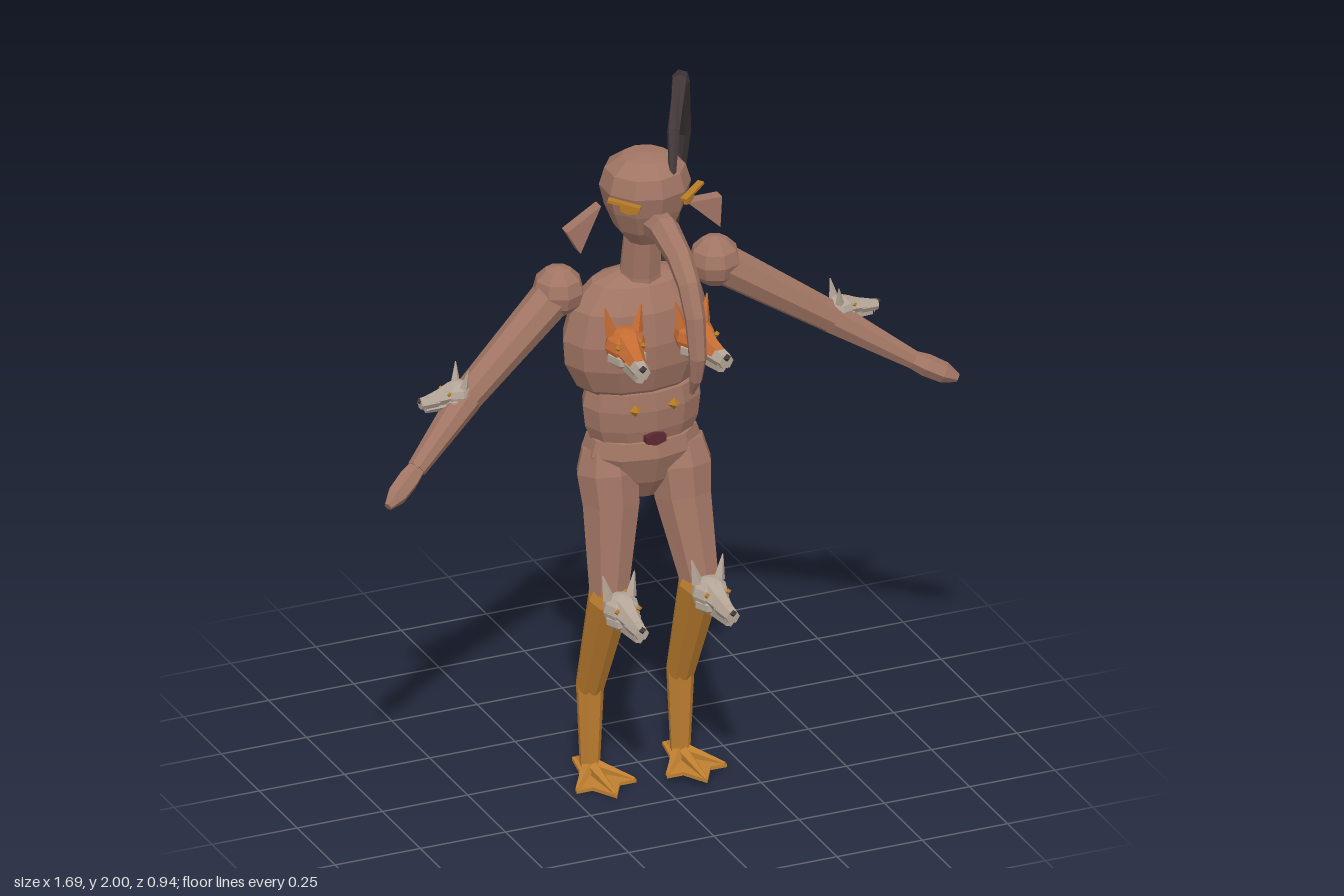
import * as THREE from 'three';

const paint = (name, color) => {
  const m = new THREE.MeshStandardMaterial({ color });
  m.name = name;
  return m;
};

export function createModel() {
  const root = new THREE.Group();
  root.name = 'creature';
  const skin = paint('skin', 0xa17564);
  const amber = paint('amber scale', 0xbf7f30);
  const fox = paint('orange fur', 0xc56c34);
  const bone = paint('pale fur', 0xb4a597);
  const dark = paint('dark hide', 0x423839);
  const maroon = paint('maroon', 0x5c2830);
  const gold = paint('gold', 0xb57a24);

  // Faceted mesh helper
  function add(name, geo, mat, pos = [0, 0, 0], parent = root) {
    const g = geo.index ? geo.toNonIndexed() : geo;
    g.computeVertexNormals();
    const mesh = new THREE.Mesh(g, mat);
    mesh.name = name;
    mesh.position.set(...pos);
    parent.add(mesh);
    return mesh;
  }

  // Closed tapered tube through points; each point is [x, y, z, radius]
  function limb(name, mat, pts, sides = 7, ref = [1, 0, 0], parent = root) {
    const c = pts.map(p => new THREE.Vector3(p[0], p[1], p[2]));
    const r = new THREE.Vector3(...ref), pos = [], idx = [], last = c.length - 1;
    c.forEach((p, i) => {
      const a = c[Math.max(i - 1, 0)], b = c[Math.min(i + 1, last)];
      const t = b.clone().sub(p).normalize().add(p.clone().sub(a).normalize()).normalize();
      const n = r.clone().cross(t).normalize(), m = t.clone().cross(n);
      for (let j = 0; j < sides; j++) {
        const u = j / sides * Math.PI * 2;
        const v = p.clone().addScaledVector(n, Math.cos(u) * pts[i][3]).addScaledVector(m, Math.sin(u) * pts[i][3]);
        pos.push(v.x, v.y, v.z);
      }
    });
    const s0 = pos.length / 3;
    pos.push(...c[0].toArray(), ...c[last].toArray());
    for (let j = 0; j < sides; j++) {
      const k = (j + 1) % sides;
      for (let i = 0; i < last; i++) {
        const A = i * sides + j, B = i * sides + k;
        idx.push(A, B, A + sides, B, B + sides, A + sides);
      }
      idx.push(k, j, s0, last * sides + j, last * sides + k, s0 + 1);
    }
    const g = new THREE.BufferGeometry();
    g.setAttribute('position', new THREE.Float32BufferAttribute(pos, 3));
    g.setIndex(idx);
    return add(name, g, mat, [0, 0, 0], parent);
  }

  // Turned body section, flattened front to back
  function turned(name, profile, pos, depth = 1, sides = 10) {
    const g = new THREE.LatheGeometry(profile.map(p => new THREE.Vector2(...p)), sides);
    g.scale(1, 1, depth);
    return add(name, g, skin, pos);
  }

  // Head, neck and torso
  turned('head', [[0, -0.14], [0.05, -0.135], [0.085, -0.09], [0.11, -0.03], [0.125, 0.03], [0.11, 0.08], [0.065, 0.112], [0, 0.12]], [-0.02, 1.74, 0.09], 0.97);
  limb('neck', skin, [[-0.02, 1.42, 0.05, 0.07], [-0.02, 1.5, 0.06, 0.058], [-0.02, 1.65, 0.08, 0.052]], 8);
  turned('chest', [[0, 1.15], [0.15, 1.16], [0.175, 1.18], [0.21, 1.25], [0.215, 1.32], [0.19, 1.41], [0.13, 1.475], [0.05, 1.5], [0, 1.5]], [-0.025, 0, 0.045], 0.62, 12);
  turned('belly', [[0, 1.0], [0.145, 1.01], [0.165, 1.06], [0.172, 1.12], [0.16, 1.17], [0, 1.18]], [-0.015, 0, 0.055], 0.64, 12);
  turned('pelvis', [[0, 0.83], [0.07, 0.84], [0.13, 0.9], [0.17, 0.98], [0.155, 1.025], [0.08, 1.04], [0, 1.04]], [-0.015, 0, 0.055], 0.68);

  // Trunk
  limb('trunk', skin, [[-0.02, 1.68, 0.15, 0.045], [-0.02, 1.685, 0.22, 0.042], [-0.02, 1.645, 0.32, 0.036], [-0.02, 1.59, 0.38, 0.032],
    [-0.02, 1.51, 0.42, 0.029], [-0.02, 1.4, 0.438, 0.025], [-0.02, 1.33, 0.425, 0.018], [-0.02, 1.28, 0.4, 0.007]], 7);

  // Floating ears: triangular wedges
  function ear(name, corners) {
    const g = new THREE.ExtrudeGeometry(new THREE.Shape(corners.map(p => new THREE.Vector2(...p))), { depth: 0.035, bevelEnabled: false });
    add(name, g, skin, [0, 0, 0.07]);
  }
  ear('leftEar', [[0.1, 1.69], [0.195, 1.6], [0.2, 1.69]]);
  ear('rightEar', [[-0.255, 1.67], [-0.215, 1.6], [-0.155, 1.73]]);

  // Eyes with lashes
  for (const s of [1, -1]) {
    const eye = add('eye', new THREE.CylinderGeometry(0.024, 0.024, 0.008, 6).rotateX(Math.PI / 2).scale(1.2, 0.6, 1), gold, [-0.02 + s * 0.087, 1.745, 0.184]);
    eye.rotation.y = s * 0.75;
    const lash = add('lash', new THREE.BoxGeometry(0.09, 0.008, 0.02), gold, [-0.02 + s * 0.1, 1.762, 0.178]);
    lash.rotation.set(0, s * 0.6, s * 0.2);
  }

  // Belly studs and navel mouth
  for (const x of [-0.078, 0.035]) add('stud', new THREE.OctahedronGeometry(0.018), gold, [x, 1.13, 0.158]);
  add('navelMouth', new THREE.CylinderGeometry(0.034, 0.034, 0.02, 6).rotateX(Math.PI / 2).scale(1, 0.55, 1), maroon, [-0.022, 1.04, 0.162]);

  // Arms
  const up = [0, 1, 0];
  function arm(side, shoulder, elbow, wrist, tip) {
    add(side + 'Shoulder', new THREE.SphereGeometry(0.072, 8, 6), skin, shoulder);
    limb(side + 'UpperArm', skin, [[...shoulder, 0.058], [...elbow, 0.044]], 8, up);
    limb(side + 'Forearm', skin, [[...elbow, 0.046], [...wrist, 0.027]], 8, up);
    const at = f => wrist.map((v, i) => v + (tip[i] - v) * f);
    limb(side + 'Hand', skin, [[...at(-0.05), 0.024], [...at(0.3), 0.031], [...at(0.7), 0.029], [...tip, 0.012]], 6, up);
  }
  arm('left', [0.205, 1.475, 0.045], [0.53, 1.26, 0.095], [0.73, 1.13, 0.17], [0.84, 1.075, 0.22]);
  arm('right', [-0.255, 1.475, 0.045], [-0.55, 1.235, 0.1], [-0.73, 1.095, 0.18], [-0.84, 1.03, 0.24]);

  // Legs with webbed feet
  const web = new THREE.Shape([[-0.015, -0.085], [0.015, -0.085], [0.03, 0], [0.088, 0.11], [0.04, 0.11], [0, 0.18], [-0.04, 0.11], [-0.088, 0.11], [-0.03, 0]].map(p => new THREE.Vector2(...p)));
  function leg(side, x, hipX, dz, dy) {
    const knee = [x, 0.59 + dy, 0.155 + dz], hock = [x, 0.27 + dy, 0.025 + dz], ankle = [x, 0.035 + dy, 0.025 + dz];
    limb(side + 'Thigh', skin, [[hipX, 0.99, 0.06 + dz / 2, 0.07], [hipX, 0.92, 0.07 + dz / 2, 0.09], [hipX, 0.83, 0.09 + dz / 2, 0.082], [x, 0.6 + dy, 0.15 + dz, 0.056]], 8);
    limb(side + 'Shin', amber, [[x, 0.63 + dy, 0.165 + dz, 0.045], [...knee, 0.06], [...hock, 0.04]], 8);
    limb(side + 'Shank', amber, [[x, 0.285 + dy, 0.03 + dz, 0.036], [...hock, 0.039], [...ankle, 0.028]], 7);
    add(side + 'Foot', new THREE.ExtrudeGeometry(web, { depth: 0.01, bevelEnabled: false }).rotateX(Math.PI / 2), amber, [x, 0.022 + dy, 0.025 + dz]);
    for (const [tx, tz] of [[-0.084, 0.105], [0, 0.17], [0.084, 0.105], [0, -0.08]])
      limb(side + 'Toe', amber, [[x, 0.035 + dy, 0.025 + dz, 0.022], [x + tx, 0.02 + dy, 0.025 + dz + tz, 0.006]], 5, up);
  }
  leg('left', 0.1, 0.085, 0.028, 0.008);
  leg('right', -0.143, -0.115, -0.022, -0.012);

  // Small beast head facing +z, with muzzle, jaw, ears, eyes and nose
  function beast(name, top, pos, yaw, scale = 1) {
    const g = new THREE.Group();
    g.name = name;
    add('skull', new THREE.SphereGeometry(0.055, 8, 6).scale(0.95, 0.85, 1.05), top, [0, 0, 0], g);
    add('cheeks', new THREE.SphereGeometry(0.05, 7, 5).scale(1.02, 0.6, 1), bone, [0, -0.022, 0.012], g);
    limb('muzzle', top, [[0, 0.005, 0.02, 0.04], [0, -0.002, 0.07, 0.028], [0, -0.006, 0.115, 0.021]], 6, up, g);
    limb('muzzleTip', bone, [[0, -0.008, 0.08, 0.027], [0, -0.01, 0.145, 0.02]], 6, up, g);
    limb('jaw', bone, [[0, -0.03, 0.02, 0.026], [0, -0.034, 0.125, 0.014]], 5, up, g);
    add('nose', new THREE.OctahedronGeometry(0.011), dark, [0, 0.002, 0.147], g);
    for (const s of [1, -1]) {
      limb('beastEar', top, [[s * 0.032, 0.03, -0.01, 0.017], [s * 0.046, 0.098, -0.018, 0.002]], 4, [1, 0, 0], g);
      add('beastEye', new THREE.OctahedronGeometry(0.009), gold, [s * 0.032, 0.018, 0.048], g);
      add('fang', new THREE.ConeGeometry(0.005, 0.02, 4).rotateX(Math.PI), bone, [s * 0.013, -0.028, 0.13], g);
    }
    g.position.set(...pos);
    g.rotation.y = yaw;
    g.scale.setScalar(scale);
    root.add(g);
  }
  beast('leftChestBeast', fox, [0.078, 1.34, 0.2], 0.14, 1.1);
  beast('rightChestBeast', fox, [-0.12, 1.345, 0.185], -0.12, 1.1);
  beast('leftKneeBeast', bone, [0.1, 0.595, 0.25], 0.02, 1);
  beast('rightKneeBeast', bone, [-0.145, 0.578, 0.215], -0.02, 1);
  beast('leftElbowBeast', bone, [0.55, 1.285, 0.09], 1.5, 0.75);
  beast('rightElbowBeast', bone, [-0.575, 1.255, 0.1], -1.5, 0.78);

  // Long tail looping from the pelvis over to the brow
  limb('tail', dark, [[-0.02, 0.95, 0.0, 0.034], [0.0, 0.87, -0.11, 0.036], [0.09, 0.765, -0.28, 0.036], [0.2, 0.9, -0.4, 0.033],
    [0.26, 1.12, -0.45, 0.03], [0.285, 1.42, -0.425, 0.028], [0.28, 1.68, -0.345, 0.027], [0.21, 1.91, -0.19, 0.025],
    [0.14, 1.98, -0.04, 0.021], [0.05, 1.92, 0.12, 0.017], [0.02, 1.8, 0.18, 0.009]], 6);

  return root;
}
